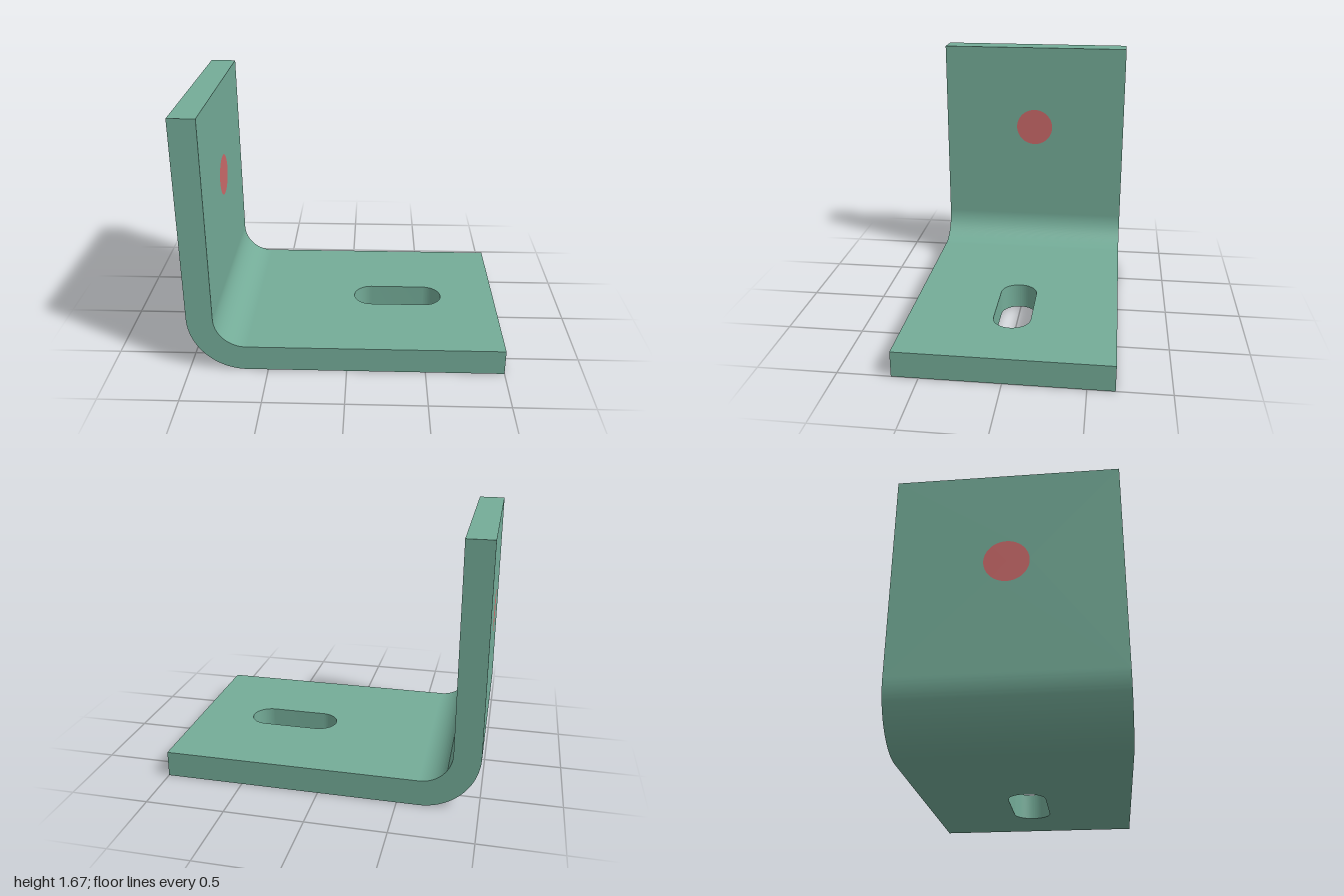
import * as THREE from 'three';
import { toCreasedNormals } from 'three/addons/utils/BufferGeometryUtils.js';

const T = 0.1667;          // sheet thickness
const D = 1.3333;          // bracket width along z
const H = 1.6667;          // wall height
const R_IN = 0.2;          // inside bend radius
const R_OUT = R_IN + T;    // outside bend radius
const HOLE_Y = 1.067, HOLE_R = 0.1335;

function extrude(shape, depth) {
  return new THREE.ExtrudeGeometry(shape, { depth, bevelEnabled: false, curveSegments: 32 });
}

function rectangle(x0, y0, x1, y1) {
  return new THREE.Shape([[x0, y0], [x1, y0], [x1, y1], [x0, y1]].map(p => new THREE.Vector2(...p)));
}

export function createModel() {
  const green = new THREE.MeshStandardMaterial({ color: 0x74ac98 });
  green.name = 'sage green';
  const red = new THREE.MeshStandardMaterial({ color: 0xcb6a6a });
  red.name = 'soft red';

  const model = new THREE.Group();
  model.name = 'angleBracket';
  const add = (name, geometry, material) => {
    const mesh = new THREE.Mesh(toCreasedNormals(geometry, 0.5), material);
    mesh.name = name;
    model.add(mesh);
  };

  // Base plate with a rounded slot
  const base = rectangle(-1 + R_OUT, -D / 2, 1, D / 2);
  const slot = new THREE.Path();
  const slotR = 0.12;
  slot.absarc(0.633 - slotR, 0, slotR, -Math.PI / 2, Math.PI / 2, false);
  slot.absarc(0.033 + slotR, 0, slotR, Math.PI / 2, Math.PI * 1.5, false);
  slot.closePath();
  base.holes.push(slot);
  add('basePlate', extrude(base, T).rotateX(Math.PI / 2).translate(0, T, 0), green);

  // Upright wall with a round hole
  const wall = rectangle(-D / 2, R_OUT, D / 2, H);
  const hole = new THREE.Path();
  hole.absarc(0, HOLE_Y, HOLE_R, 0, Math.PI * 2, false);
  wall.holes.push(hole);
  add('wallPlate', extrude(wall, T).rotateY(Math.PI / 2).translate(-1, 0, 0), green);

  // Quarter-round bend joining the plates
  const bend = new THREE.Shape();
  const cx = -1 + R_OUT, cy = R_OUT;
  bend.absarc(cx, cy, R_OUT, Math.PI, Math.PI * 1.5, false);
  bend.absarc(cx, cy, R_IN, Math.PI * 1.5, Math.PI, true);
  bend.closePath();
  add('bend', extrude(bend, D).translate(0, 0, -D / 2), green);

  // Flush plug filling the wall hole
  const plug = new THREE.CylinderGeometry(HOLE_R, HOLE_R, T, 64);
  add('holePlug', plug.rotateZ(Math.PI / 2).translate(-1 + T / 2, HOLE_Y, 0), red);

  return model;
}
